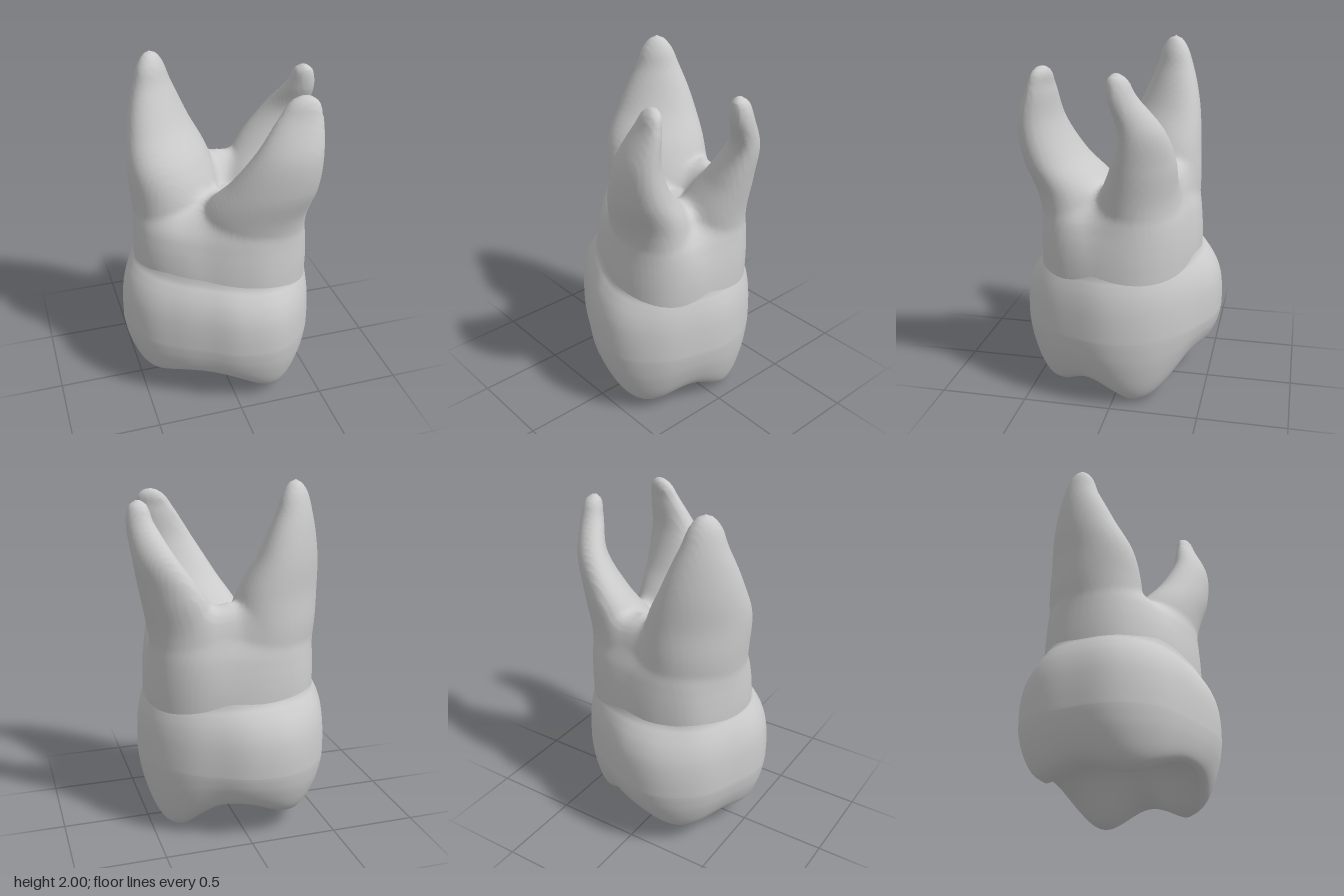
import * as THREE from 'three';

const material = new THREE.MeshStandardMaterial({ color: 0xcccccc });

// Catmull-Rom through rows of numbers, t in 0..1
function spline(rows, t, closed = false) {
  const n = rows.length, f = t * (closed ? n : n - 1);
  const i = closed ? Math.floor(f) : Math.min(Math.floor(f), n - 2), u = f - i;
  const at = (k) => rows[closed ? (k + n) % n : Math.max(0, Math.min(n - 1, k))];
  const [a, b, c, d] = [at(i - 1), at(i), at(i + 1), at(i + 2)];
  return b.map((_, k) => b[k] + 0.5 * u * (c[k] - a[k]
    + u * (2 * a[k] - 5 * b[k] + 4 * c[k] - d[k] + u * (3 * (b[k] - c[k]) + d[k] - a[k]))));
}

// Row of a spline at a given height (rows start with a rising height)
function sectionAt(rows, y) {
  let lo = 0, hi = 1;
  for (let i = 0; i < 24; i++) {
    const mid = (lo + hi) / 2;
    if (spline(rows, mid)[0] < y) lo = mid; else hi = mid;
  }
  return spline(rows, lo);
}

function smoothMesh(name, pos, index) {
  const geometry = new THREE.BufferGeometry();
  geometry.setAttribute('position', new THREE.Float32BufferAttribute(pos, 3));
  geometry.setIndex(index);
  geometry.computeVertexNormals();
  const mesh = new THREE.Mesh(geometry, material);
  mesh.name = name;
  return mesh;
}

// Outline radii at 16 equal angles, from +x towards +z: [widest crown, neck, chewing rim]
const OUTLINE = [
  [0.54, 0.49, 0.4], [0.54, 0.50, 0.4], [0.575, 0.52, 0.425], [0.585, 0.485, 0.43],
  [0.53, 0.42, 0.41], [0.475, 0.385, 0.4], [0.49, 0.40, 0.41], [0.55, 0.44, 0.43],
  [0.58, 0.48, 0.43], [0.57, 0.49, 0.42], [0.595, 0.50, 0.44], [0.59, 0.455, 0.44],
  [0.545, 0.43, 0.41], [0.50, 0.43, 0.37], [0.51, 0.46, 0.38], [0.53, 0.485, 0.39],
];
const outline = (angle) => spline(OUTLINE, ((angle / (Math.PI * 2)) + 1) % 1, true);

// Cusps of the chewing surface: x, z, height, spread
const CUSPS = [
  [0.22, 0.33, 0.195, 0.155], [0.33, -0.12, 0.235, 0.155],
  [-0.37, 0.05, 0.125, 0.15], [-0.28, -0.38, 0.12, 0.15],
];
function chewingHeight(x, z, s) {
  let y = 0.31 - 0.085 * s * s;
  for (const [cx, cz, h, w] of CUSPS) {
    y -= h * Math.exp(-((x - cx) ** 2 + (z - cz) ** 2) / (2 * w * w));
  }
  return y;
}

// Lower wall: share of the way out from rim to widest outline, share of the way down
const LOWER = [[0, 1], [0.35, 0.9], [0.62, 0.7], [0.85, 0.4], [0.96, 0.15], [1, 0]];
// Upper wall: height, blend from neck to widest outline
const UPPER = [[0.42, 1], [0.52, 1], [0.62, 0.9], [0.7, 0.66], [0.76, 0.34], [0.8, 0.08], [0.85, -0.06]];

// Crown: rings from the middle of the chewing surface, round the rim and up to the neck
function crown() {
  const seg = 96, inner = 22, lower = 20, upper = 24, pos = [], index = [];
  const point = (i, angle) => {
    const [wide, neck, rim] = outline(angle), c = Math.cos(angle), n = Math.sin(angle);
    if (i < inner) {
      const s = i / inner, x = c * rim * s, z = n * rim * s;
      return [x, chewingHeight(x, z, s), z];
    }
    if (i < inner + lower) {
      const [out, down] = spline(LOWER, (i - inner) / lower);
      const r = rim + (wide - rim) * out, bottom = chewingHeight(c * rim, n * rim, 1);
      return [c * r, 0.42 + (bottom - 0.42) * down, n * r];
    }
    const [y, blend] = spline(UPPER, (i - inner - lower) / (upper - 1));
    const r = neck + (wide - neck) * blend;
    return [c * r, y - 0.06 * c * r * (y - 0.42) / 0.4, n * r];
  };
  for (let i = 0; i < inner + lower + upper; i++) {
    for (let j = 0; j < seg; j++) {
      pos.push(...point(i, (j / seg) * Math.PI * 2));
      if (i === 0) continue;
      const a = (i - 1) * seg + j, b = (i - 1) * seg + (j + 1) % seg;
      index.push(a, a + seg, b, b, a + seg, b + seg);
    }
  }
  return smoothMesh('crown', pos, index);
}

// Trunk between neck and root fork: height, scale of the neck outline
const TRUNK = [[0.7, 1], [0.8, 1], [0.9, 0.985], [1, 0.94], [1.09, 0.85], [1.16, 0.65], [1.2, 0.35], [1.21, 0]];

// Roots: turn of the long axis, then sections of height, centre x, centre z, long and short half widths
const ROOTS = [
  { turn: Math.PI * 0.75, sections: [ // broad root
    [0.7, -0.18, -0.12, 0.26, 0.2], [1, -0.2, -0.135, 0.295, 0.23], [1.2, -0.215, -0.14, 0.3, 0.24],
    [1.4, -0.25, -0.155, 0.285, 0.205], [1.6, -0.29, -0.2, 0.22, 0.15],
    [1.8, -0.31, -0.225, 0.137, 0.1], [1.92, -0.315, -0.225, 0.09, 0.068], [2, -0.315, -0.225, 0, 0],
  ] },
  { turn: 0.3, sections: [ // front root
    [0.7, 0.12, 0.16, 0.27, 0.2], [1, 0.135, 0.195, 0.295, 0.215], [1.2, 0.145, 0.245, 0.285, 0.205],
    [1.4, 0.21, 0.355, 0.235, 0.15], [1.6, 0.27, 0.41, 0.175, 0.105],
    [1.78, 0.325, 0.395, 0.117, 0.06], [1.86, 0.345, 0.385, 0.082, 0.045], [1.905, 0.355, 0.38, 0, 0],
  ] },
  { turn: Math.PI * 0.25, sections: [ // curved root
    [0.7, 0.22, -0.1, 0.22, 0.2], [1, 0.235, -0.115, 0.235, 0.215], [1.2, 0.28, -0.125, 0.225, 0.185],
    [1.4, 0.36, -0.165, 0.195, 0.13], [1.6, 0.45, -0.165, 0.135, 0.085],
    [1.77, 0.505, -0.085, 0.085, 0.065], [1.86, 0.512, -0.06, 0.058, 0.05], [1.9, 0.51, -0.05, 0, 0],
  ] },
  { turn: 0, sections: [ // web between the two rear roots
    [0.7, 0.05, -0.2, 0.2, 0.12], [1.1, 0.05, -0.23, 0.18, 0.11], [1.25, 0.06, -0.24, 0.13, 0.08], [1.34, 0.07, -0.24, 0, 0],
  ] },
];

function smoothMin(a, b) {
  const k = 0.1, h = Math.max(k - Math.abs(a - b), 0) / k;
  return Math.min(a, b) - h * h * k / 4;
}

// Signed field of trunk and roots in one horizontal layer, negative inside.
// Squared widths are interpolated, which rounds the tips.
function layerField(y) {
  const scale = Math.max(0, sectionAt(TRUNK, y)[1]), above = Math.max(0, y - TRUNK.at(-1)[0]);
  const ellipses = ROOTS.map(({ turn, sections }) => {
    const rows = sections.map(([h, x, z, a, b]) => [h, x, z, a * a, b * b]);
    const [, x, z, a2, b2] = sectionAt(rows, y);
    const width = (w2) => Math.sqrt(Math.max(w2, 0.000025));
    return { x, z, a: width(a2), b: width(b2), c: Math.cos(turn), n: Math.sin(turn), over: Math.max(0, y - rows.at(-1)[0]) };
  });
  return (px, pz) => {
    let f = Math.hypot(px, pz) - outline(Math.atan2(pz, px))[1] * scale + above;
    for (const { x, z, a, b, c, n, over } of ellipses) {
      const dx = px - x, dz = pz - z;
      const q = Math.hypot((dx * c + dz * n) / a, (dz * c - dx * n) / b);
      f = smoothMin(f, (q - 1) * b + over);
    }
    return f;
  };
}

// Trunk and roots skinned as one blended surface on a regular grid
function roots() {
  const step = 0.0175, origin = [-0.58, 0.74, -0.54], size = [70, 74, 66];
  const stride = [1, size[0], size[0] * size[1]];
  const value = new Float32Array(size[0] * size[1] * size[2]), vertex = new Map();
  const pos = [], index = [];
  for (let j = 0; j < size[1]; j++) {
    const field = layerField(origin[1] + j * step);
    for (let k = 0; k < size[2]; k++) for (let i = 0; i < size[0]; i++) {
      value[i + j * stride[1] + k * stride[2]] = field(origin[0] + i * step, origin[2] + k * step);
    }
  }
  const eachPoint = (visit) => {
    for (let k = 0; k < size[2] - 1; k++) for (let j = 0; j < size[1] - 1; j++) for (let i = 0; i < size[0] - 1; i++) {
      visit([i, j, k], i + j * stride[1] + k * stride[2]);
    }
  };
  // One vertex per crossed cell, at the mean of its edge crossings
  eachPoint((p, id) => {
    const sum = [0, 0, 0];
    let hits = 0;
    for (let corner = 0; corner < 8; corner++) for (let axis = 0; axis < 3; axis++) {
      if (corner >> axis & 1) continue;
      const bits = [corner & 1, corner >> 1 & 1, corner >> 2 & 1];
      const from = id + bits[0] + bits[1] * stride[1] + bits[2] * stride[2];
      const a = value[from], b = value[from + stride[axis]];
      if (a < 0 === b < 0) continue;
      bits[axis] = a / (a - b);
      bits.forEach((v, m) => { sum[m] += v; });
      hits++;
    }
    if (!hits) return;
    vertex.set(id, pos.length / 3);
    pos.push(...p.map((v, m) => origin[m] + (v + sum[m] / hits) * step));
  });
  // One quad round every crossed grid edge
  eachPoint((p, id) => {
    for (let axis = 0; axis < 3; axis++) {
      const u = (axis + 1) % 3, w = (axis + 2) % 3, inside = value[id] < 0;
      if (inside === value[id + stride[axis]] < 0 || !p[u] || !p[w]) continue;
      const quad = [id - stride[u] - stride[w], id - stride[w], id, id - stride[u]].map((cell) => vertex.get(cell));
      const [a, b, c, d] = inside ? quad : quad.reverse();
      index.push(a, b, c, a, c, d);
    }
  });
  return smoothMesh('roots', pos, index);
}

export function createModel() {
  const tooth = new THREE.Group();
  tooth.name = 'molarTooth';
  tooth.add(crown(), roots());
  return tooth;
}
